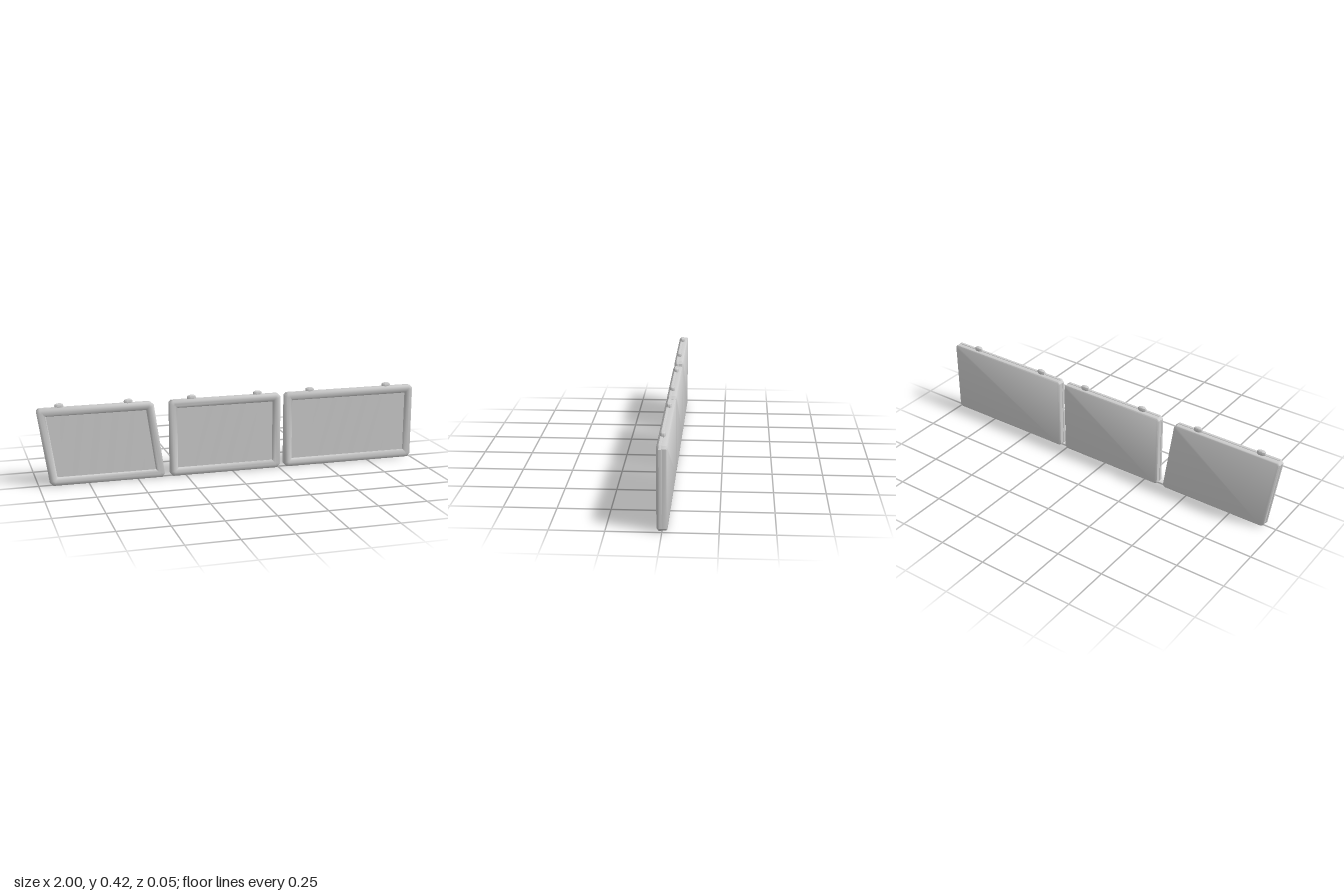
import * as THREE from 'three';
import { toCreasedNormals } from 'three/addons/utils/BufferGeometryUtils.js';

const Y0 = 0.002, Y1 = 0.4;
const frameGrey = new THREE.MeshStandardMaterial({ color: 0xcccccc });
frameGrey.name = 'frame grey';

// left / right at the top edge; lean shifts the bottom edge sideways
const panels = [
  { name: 'slantedWindow', left: -1, right: -0.415, lean: 0.057, clips: [-0.885, -0.54] },
  { name: 'middleWindow', left: -0.333, right: 0.257, lean: 0, clips: [-0.215, 0.135] },
  { name: 'wideWindow', left: 0.28, right: 1, lean: 0, clips: [0.42, 0.85] },
];

const leanAt = (p, y) => p.lean * (Y1 - y) / (Y1 - Y0);

// Panel outline inset by d with cut corners, counter-clockwise from the front
function outline(p, d, z, cut) {
  const b = Y0 + d, t = Y1 - d;
  const L = (y, o = 0) => [p.left + d + o + leanAt(p, y), y, z];
  const R = (y, o = 0) => [p.right - d - o + leanAt(p, y), y, z];
  return [L(b, cut), R(b, cut), R(b + cut), R(t - cut), R(t, cut), L(t, cut), L(t - cut), L(b + cut)];
}

// Skin consecutive outlines; optionally close the last one with a fan
function loft(rings, cap) {
  const pos = rings.flat(2), index = [], n = 8;
  for (let i = 0; i < rings.length - 1; i++) {
    for (let j = 0; j < n; j++) {
      const a = i * n + j, b = i * n + (j + 1) % n;
      index.push(a, b, b + n, a, b + n, a + n);
    }
  }
  const s = (rings.length - 1) * n;
  if (cap) for (let j = 1; j < n - 1; j++) index.push(s, s + j, s + j + 1);
  const g = new THREE.BufferGeometry();
  g.setAttribute('position', new THREE.Float32BufferAttribute(pos, 3));
  // a loft running towards the back needs its faces turned round
  if (rings[0][0][2] > rings[rings.length - 1][0][2]) index.reverse();
  g.setIndex(index);
  return toCreasedNormals(g, 0.65);
}

// Pane with very shallow slanted ripples
function paneGeometry(p) {
  const d = 0.04, w = p.right - p.left - 2 * d, h = Y1 - Y0 - 2 * d;
  const g = new THREE.PlaneGeometry(w, h, 48, 12);
  const pos = g.attributes.position;
  for (let i = 0; i < pos.count; i++) {
    const x = pos.getX(i), y = pos.getY(i) + (Y0 + Y1) / 2;
    const u = x - 0.28 * y;
    const fade = Math.max(0, 1 - Math.abs(x) / (w * 0.5));
    pos.setXYZ(i, x + (p.left + p.right) / 2 + leanAt(p, y), y, 0.009 + 0.0004 * fade * Math.sin(u * 70));
  }
  g.computeVertexNormals();
  return g;
}

// Small rounded hanging clip
function clipGeometry() {
  const pts = [[0.022, 0], [0.024, 0.012], [0.021, 0.019], [0.013, 0.023], [0, 0.023]];
  const g = new THREE.LatheGeometry(pts.map(([x, y]) => new THREE.Vector2(x, y)), 8);
  g.rotateY(Math.PI / 8);
  g.scale(1, 1, 0.56);
  return toCreasedNormals(g, 0.6);
}

export function createModel() {
  const model = new THREE.Group();
  model.name = 'framedWindows';
  const add = (group, name, geometry) => {
    const mesh = new THREE.Mesh(geometry, frameGrey);
    mesh.name = name;
    group.add(mesh);
    return mesh;
  };

  // Inset, depth and corner cut of each outline
  const frameProfile = [
    [0.007, -0.001, 0.014], [0.001, 0.002, 0.016], [0, 0.006, 0.016], [0, 0.014, 0.016],
    [0.004, 0.019, 0.015], [0.011, 0.0245, 0.012], [0.02, 0.025, 0.007], [0.03, 0.0235, 0.003],
    [0.038, 0.019, 0.001], [0.042, 0.013, 0.001], [0.042, 0.006, 0.001],
  ];
  const backProfile = [
    [0.003, 0.004, 0.012], [0.003, -0.017, 0.012], [0.005, -0.021, 0.012], [0.009, -0.024, 0.01],
  ];
  const clip = clipGeometry();

  for (const p of panels) {
    const group = new THREE.Group();
    group.name = p.name;
    const rings = profile => profile.map(([d, z, cut]) => outline(p, d, z, cut));
    // the frame wraps from its outer back edge over the front to the opening
    add(group, 'frame', loft(rings(frameProfile), false));
    add(group, 'backing', loft(rings(backProfile), true));
    add(group, 'pane', paneGeometry(p));
    for (const x of p.clips) add(group, 'clip', clip).position.set(x, 0.395, 0.003);
    model.add(group);
  }
  return model;
}
